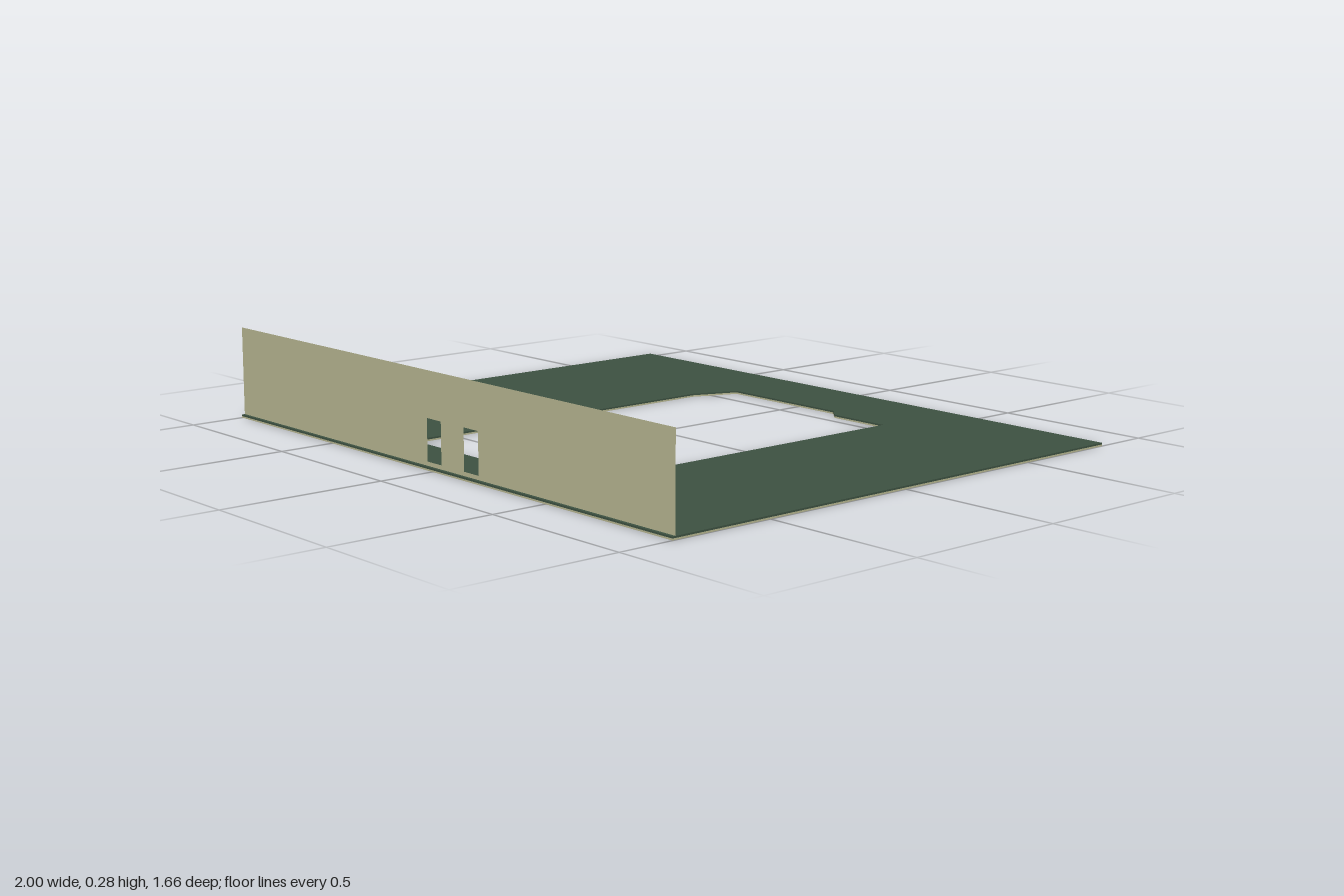
import * as THREE from 'three';

const HALF_X = 1, HALF_Z = 0.83, LAYER = 0.005, WALL_TOP = 0.28, WALL_Z = 0.82;

const path = (Type, points) => new Type(points.map(([x, y]) => new THREE.Vector2(x, y)));
const rect = (x0, y0, x1, y1) => [[x0, y0], [x1, y0], [x1, y1], [x0, y1]];

export function createModel() {
  const model = new THREE.Group();
  const green = new THREE.MeshStandardMaterial({ color: 0x3c5040 });
  const tan = new THREE.MeshStandardMaterial({ color: 0xb5b48f });
  const wallMaterial = tan.clone();
  wallMaterial.side = THREE.DoubleSide;

  // Ground plan with its irregular opening, drawn as (x, -z)
  const plan = path(THREE.Shape, rect(-HALF_X, -HALF_Z, HALF_X, HALF_Z));
  plan.holes.push(path(THREE.Path, [
    [-0.34, -0.655], [0.405, -0.655], [0.405, 0.54], [0.2, 0.54],
    [0.155, 0.58], [-0.285, 0.58], [-0.34, 0.44],
  ]));

  // Two thin layers: tan underside and green top
  const slabGeometry = new THREE.ExtrudeGeometry(plan, { depth: LAYER, bevelEnabled: false });
  slabGeometry.rotateX(-Math.PI / 2);
  [['groundBase', tan], ['groundTop', green]].forEach(([name, material], i) => {
    const slab = new THREE.Mesh(slabGeometry, material);
    slab.name = name;
    slab.position.y = i * LAYER;
    model.add(slab);
  });

  // Thin front wall with two upright openings
  const wallShape = path(THREE.Shape, rect(-HALF_X, 2 * LAYER, HALF_X, WALL_TOP));
  for (const x of [-0.035, 0.135]) {
    wallShape.holes.push(path(THREE.Path, rect(x, 0.022, x + 0.065, 0.145)));
  }
  const wall = new THREE.Mesh(new THREE.ShapeGeometry(wallShape), wallMaterial);
  wall.name = 'frontWall';
  wall.position.z = WALL_Z;
  model.add(wall);

  return model;
}
